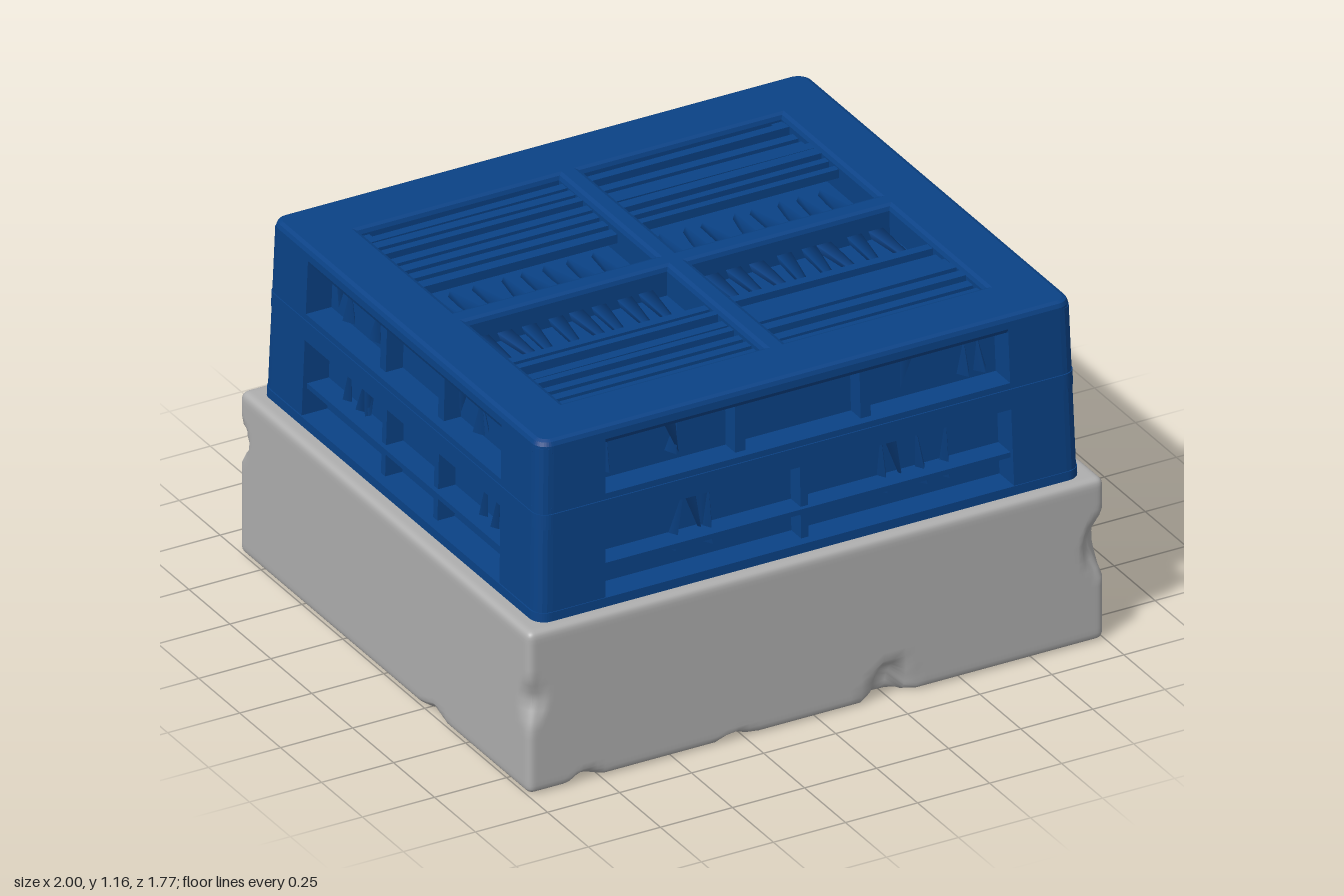
import * as THREE from 'three';
import { mergeVertices } from 'three/addons/utils/BufferGeometryUtils.js';

const stone = new THREE.MeshStandardMaterial({ color: 0xaeaeae });
stone.name = 'grey stone';
const blue = new THREE.MeshStandardMaterial({ color: 0x0a4286 });
blue.name = 'deep blue';

const Y0 = 0.545, Y1 = 1.16;          // crate bottom and top
const HX = 0.943, HZ = 0.843;         // crate half sizes at its bottom
const WX = 0.71, WZ = 0.605;          // half widths of the side windows
const RECESS = 0.09;                  // depth of the side windows

let seed = 7;
const rand = () => (seed = (seed * 16807) % 2147483647) / 2147483647;

// Crate sides lean inwards slightly towards the top
function taper(g) {
  const p = g.attributes.position;
  for (let i = 0; i < p.count; i++) {
    const t = (p.getY(i) - Y0) / (Y1 - Y0);
    p.setX(i, p.getX(i) * (1 - 0.018 * t));
    p.setZ(i, p.getZ(i) * (1 - 0.024 * t));
  }
  g.computeVertexNormals();
  return g;
}

function add(parent, name, geometry, material = blue) {
  const m = new THREE.Mesh(geometry, material);
  m.name = name;
  parent.add(m);
  return m;
}

function box(parent, name, x0, x1, y0, y1, z0, z1) {
  const g = new THREE.BoxGeometry(Math.abs(x1 - x0), y1 - y0, Math.abs(z1 - z0));
  g.translate((x0 + x1) / 2, (y0 + y1) / 2, (z0 + z1) / 2);
  return add(parent, name, taper(g));
}

function rect(path, x0, x1, y0, y1) {
  return path.moveTo(x0, y0).lineTo(x0, y1).lineTo(x1, y1).lineTo(x1, y0).closePath();
}

function roundedRect(hx, hz, r) {
  const s = new THREE.Shape();
  s.absarc(hx - r, hz - r, r, 0, Math.PI / 2);
  s.absarc(-hx + r, hz - r, r, Math.PI / 2, Math.PI);
  s.absarc(-hx + r, -hz + r, r, Math.PI, Math.PI * 1.5);
  s.absarc(hx - r, -hz + r, r, Math.PI * 1.5, Math.PI * 2);
  return s;
}

// Horizontal slab with rectangular holes [x0, x1, z0, z1]
function slab(parent, name, hx, hz, y0, y1, holes, bevel = 0) {
  const s = roundedRect(hx, hz, 0.05);
  for (const h of holes) s.holes.push(rect(new THREE.Path(), ...h));
  const g = new THREE.ExtrudeGeometry(s, {
    depth: y1 - y0 - 2 * bevel, curveSegments: 5, bevelEnabled: bevel > 0,
    bevelSize: bevel, bevelThickness: bevel, bevelOffset: -bevel, bevelSegments: 2,
  });
  g.rotateX(-Math.PI / 2).translate(0, y0 + bevel, 0);
  return add(parent, name, taper(g));
}

// Worn plinth: a dense box with rounded edges and small sharp chips
function plinthGeometry() {
  const h = [1, 0.2775, 0.885], r = 0.025;
  const g = new THREE.BoxGeometry(2, 2, 2, 80, 28, 64);
  g.deleteAttribute('uv');
  g.deleteAttribute('normal');
  // centre x, y, z, half width, half height, depth
  const chips = [
    [0.25, 0, 0.885, 0.07, 0.13, 0.1], [-0.8, 0, 0.885, 0.06, 0.04, 0.03],
    [-0.28, 0, 0.885, 0.06, 0.03, 0.025], [1, 0.33, 0.885, 0.08, 0.11, 0.06],
    [-1, 0.31, 0.885, 0.07, 0.08, 0.035], [1, 0.38, -0.885, 0.06, 0.06, 0.05],
    [-1, 0.39, -0.885, 0.06, 0.07, 0.05], [-0.3, 0, -0.885, 0.06, 0.04, 0.03],
    [-1, 0, 0.3, 0.06, 0.04, 0.03],
  ];
  const p = g.attributes.position, v = new THREE.Vector3(), q = new THREE.Vector3();
  for (let i = 0; i < p.count; i++) {
    v.fromBufferAttribute(p, i);
    v.fromArray(v.toArray().map((u, k) => h[k] * Math.sin(u * Math.PI / 2)));
    q.fromArray(v.toArray().map((u, k) => THREE.MathUtils.clamp(u, r - h[k], h[k] - r)));
    v.sub(q).setLength(r).add(q);
    v.y += h[1];
    for (const [x, y, z, w, tall, d] of chips) {
      const t = 1 - Math.hypot((v.x - x) / w, (v.y - y) / tall, (v.z - z) / w);
      if (t <= 0) continue;
      q.set(Math.abs(x) === 1 ? -x : 0, y === 0 ? 1 : 0, Math.abs(z) === 0.885 ? -Math.sign(z) : 0);
      v.addScaledVector(q.normalize(), d * t);
    }
    p.setXYZ(i, v.x, v.y, v.z);
  }
  const m = mergeVertices(g, 1e-5);
  m.computeVertexNormals();
  return m;
}

// Dividers, shelf and splinters in the windows of one side
function windowFill(crate, alongX, side) {
  const w = alongX ? WX : WZ, face = alongX ? HZ : HX, back = RECESS + 0.02;
  const place = (name, a0, a1, y0, y1, d0) => alongX
    ? box(crate, name, a0, a1, y0, y1, side * (face - d0), side * (face - back))
    : box(crate, name, side * (face - d0), side * (face - back), y0, y1, a0, a1);
  const upper = alongX ? 0.22 : 0.18;
  for (const a of [-upper, upper]) place('upperDivider', a - 0.018, a + 0.018, 0.93, 1.11, 0.03);
  for (const a of alongX ? [0] : [-0.16, 0.16])
    place('lowerDivider', a - 0.013, a + 0.013, 0.57, 0.86, 0.03);
  place('shelf', -w, w, 0.675, 0.692, 0.015);
  // irregular splinters leaning against the inner wall
  for (let i = 0; i < 14; i++) {
    const low = i < 8, len = low ? 0.2 : 0.12;
    const a = (i % 2 ? 1 : -1) * w * (0.35 + 0.58 * rand());
    const d = side * (face - RECESS + 0.02 * rand());
    const s = add(crate, 'splinter', new THREE.ConeGeometry(0.025, len, 3));
    s.position.set(alongX ? a : d, low ? 0.74 : 1.03, alongX ? d : a);
    const lean = (rand() - 0.5) * 0.5 + (i % 3 ? 0 : Math.PI);
    s.rotation.set(alongX ? 0 : lean, 0, alongX ? lean : 0);
  }
}

// One quarter of the top grate: long slats outside, short blades inside
function grateQuarter(crate, sx, sz) {
  for (const z of [0.29, 0.345, 0.4, 0.445, 0.5, 0.55, 0.6]) {
    const top = 1.125 + 0.02 * rand(), wd = 0.012 + 0.008 * rand();
    const slat = box(crate, 'grateSlat', sx * 0.03, sx * 0.75, top - 0.03, top, sz * (z - wd), sz * (z + wd));
    slat.rotation.y = (rand() - 0.5) * 0.015;
  }
  for (let i = 0; i < 8; i++) {
    const x = sx * (0.1 + i * 0.082 + 0.02 * rand()), tall = 0.07 + 0.02 * rand();
    const blade = add(crate, 'grateBlade', new THREE.CylinderGeometry(0.008, 0.03, 0.25, 3));
    blade.scale.set(1, 1, tall * 18);
    blade.position.set(x, 1.07, sz * 0.15);
    blade.rotation.set(Math.PI / 2 * sz, 0, (rand() - 0.5) * 0.25);
  }
}

export function createModel() {
  const model = new THREE.Group();
  model.name = 'crateOnPlinth';
  add(model, 'plinth', plinthGeometry(), stone);

  const crate = new THREE.Group();
  crate.name = 'crate';
  model.add(crate);

  // Openings of the top grate
  const quarters = [];
  for (const [a, b] of [[-0.745, -0.04], [0.04, 0.745]])
    for (const [c, d] of [[-0.635, -0.04], [0.04, 0.635]]) quarters.push([a, b, c, d]);

  // Recessed inner body with a rim that closes it against the top frame
  const bx = HX - RECESS, bz = HZ - RECESS;
  box(crate, 'innerBody', -bx, bx, Y0, 1.06, -bz, bz);
  slab(crate, 'innerRim', bx, bz, 1.05, 1.12, quarters);

  // Horizontal rails around the body, and the top frame with its cross bars
  const inner = [[-0.75, 0.75, -0.65, 0.65]];
  slab(crate, 'bottomRail', HX + 0.004, HZ + 0.003, Y0, 0.585, inner);
  slab(crate, 'middleRail', HX, HZ, 0.845, 0.935, inner);
  slab(crate, 'middleLip', HX + 0.003, HZ + 0.004, 0.865, 0.915, inner);
  slab(crate, 'topFrame', HX, HZ, 1.1, Y1, quarters, 0.018);

  // Corner posts with a rounded outer edge
  for (const sx of [-1, 1]) for (const sz of [-1, 1]) {
    const s = new THREE.Shape();
    const x = sx * HX, z = -sz * HZ, r = 0.05;
    s.moveTo(sx * WX, -sz * WZ).lineTo(x, -sz * WZ).lineTo(x, z + sz * r);
    s.quadraticCurveTo(x, z, x - sx * r, z).lineTo(sx * WX, z).closePath();
    const g = new THREE.ExtrudeGeometry(s, { depth: 1.135 - Y0, bevelEnabled: false, curveSegments: 5 });
    g.rotateX(-Math.PI / 2).translate(0, Y0, 0);
    add(crate, 'cornerPost', taper(g));
    grateQuarter(crate, sx, sz);
  }

  for (const alongX of [true, false])
    for (const side of [-1, 1]) windowFill(crate, alongX, side);
  return model;
}
